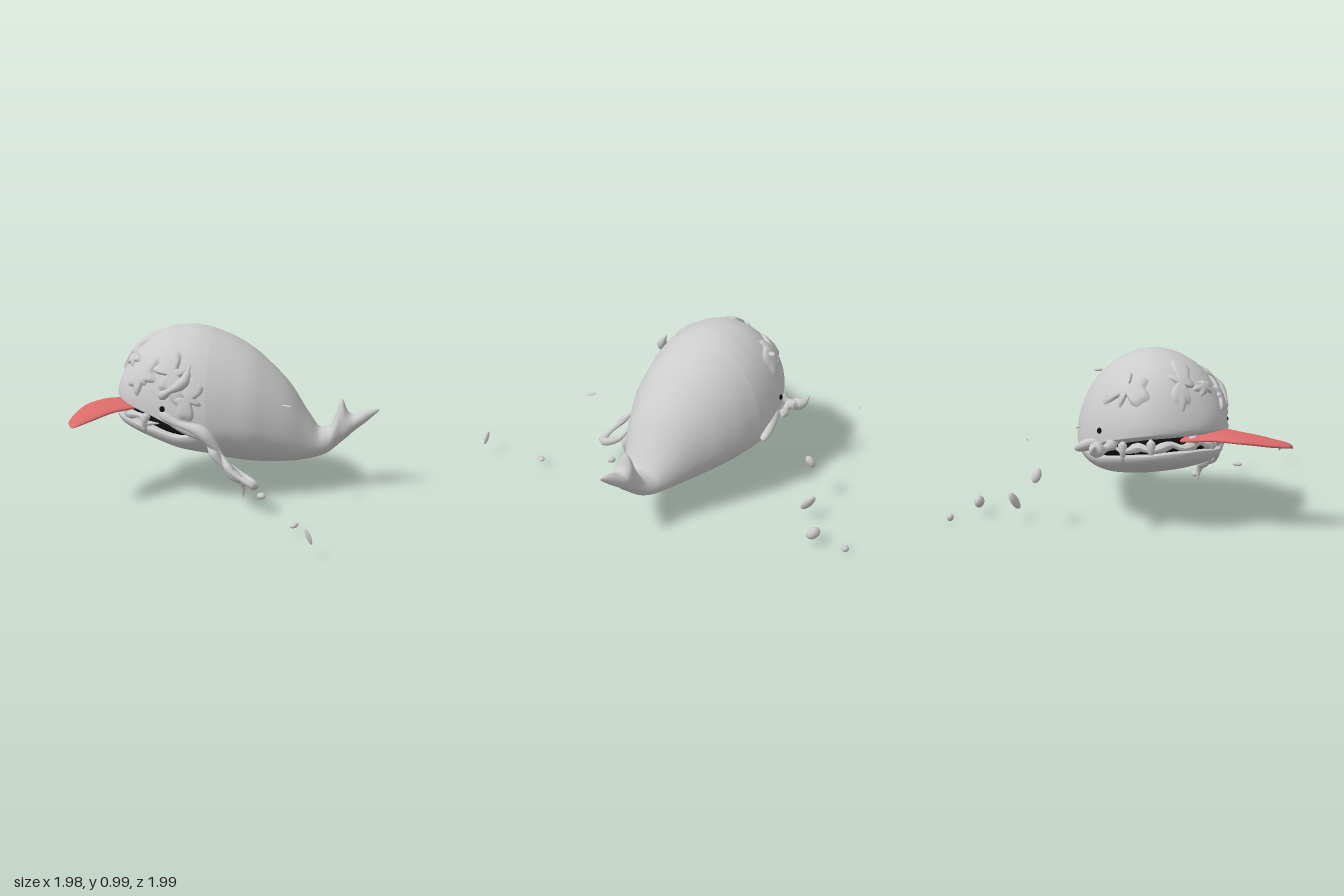
import * as THREE from 'three';

const grey = new THREE.MeshStandardMaterial({ color: 0xcccccc, side: THREE.DoubleSide });
const black = new THREE.MeshStandardMaterial({ color: 0x0c0c0c });
const red = new THREE.MeshStandardMaterial({ color: 0xdd6b6b, side: THREE.DoubleSide });
const V = (p) => new THREE.Vector3(...p);

// Cross-sections: [z, half width, top, widest height, bottom, x centre]
const BODY = [
  [0.755, 0.001, 0.511, 0.505, 0.5, -0.02], [0.68, 0.03, 0.5, 0.465, 0.43, -0.015],
  [0.6, 0.055, 0.468, 0.42, 0.365, -0.01], [0.565, 0.06, 0.49, 0.41, 0.33, -0.01],
  [0.53, 0.06, 0.565, 0.39, 0.3, -0.01], [0.49, 0.075, 0.46, 0.345, 0.265, -0.01],
  [0.45, 0.095, 0.39, 0.3, 0.235, -0.01], [0.4, 0.12, 0.385, 0.29, 0.215, -0.01],
  [0.33, 0.16, 0.475, 0.31, 0.2, -0.015], [0.22, 0.23, 0.65, 0.37, 0.187, -0.02],
  [0.1, 0.295, 0.775, 0.42, 0.185, -0.015], [0, 0.345, 0.86, 0.45, 0.19, -0.01],
  [-0.13, 0.39, 0.935, 0.46, 0.207], [-0.24, 0.42, 0.978, 0.455, 0.236], [-0.25, 0.422, 0.981, 0.455, 0.239],
  [-0.35, 0.428, 0.999, 0.455, 0.41], [-0.46, 0.412, 0.992, 0.49, 0.46],
  [-0.57, 0.372, 0.96, 0.53, 0.505], [-0.67, 0.32, 0.89, 0.56, 0.535],
  [-0.74, 0.26, 0.805, 0.58, 0.555], [-0.79, 0.18, 0.71, 0.595, 0.57],
  [-0.815, 0.08, 0.64, 0.605, 0.585], [-0.82, 0.001, 0.611, 0.61, 0.609],
];
const JAW = [
  [-0.2, 0.001, 0.4, 0.4, 0.4], [-0.21, 0.4, 0.46, 0.45, 0.234], [-0.25, 0.42, 0.46, 0.452, 0.24],
  [-0.32, 0.415, 0.43, 0.422, 0.256], [-0.42, 0.39, 0.415, 0.403, 0.279], [-0.55, 0.335, 0.438, 0.425, 0.318],
  [-0.68, 0.27, 0.462, 0.45, 0.365], [-0.78, 0.18, 0.485, 0.472, 0.41],
  [-0.82, 0.09, 0.493, 0.483, 0.445], [-0.835, 0.001, 0.487, 0.486, 0.485],
];
const MOUTH = [
  [-0.2, 0.001, 0.41, 0.41, 0.41], [-0.3, 0.38, 0.45, 0.42, 0.36], [-0.45, 0.36, 0.5, 0.44, 0.38],
  [-0.6, 0.28, 0.54, 0.48, 0.42], [-0.7, 0.2, 0.565, 0.51, 0.45], [-0.75, 0.001, 0.52, 0.52, 0.52],
];
// The tongue runs along its own z axis, later turned sideways
const TONGUE = [
  [0.99, 0.012, 0.507, 0.5, 0.495, -0.58], [0.97, 0.04, 0.522, 0.51, 0.5, -0.585],
  [0.87, 0.078, 0.547, 0.527, 0.51, -0.6], [0.73, 0.115, 0.57, 0.548, 0.528, -0.605],
  [0.58, 0.145, 0.579, 0.557, 0.536, -0.57], [0.42, 0.12, 0.56, 0.54, 0.52, -0.55],
  [0.25, 0.08, 0.53, 0.51, 0.49, -0.5], [0.24, 0.001, 0.51, 0.51, 0.51, -0.5],
];

// Smoothly interpolated section at position t along the rings
function section(rings, t) {
  const n = rings.length - 1, i = Math.min(Math.floor(t), n - 1), f = t - i;
  const at = (k, c) => rings[Math.max(0, Math.min(n, k))][c] ?? 0;
  return [0, 1, 2, 3, 4, 5].map((c) => {
    const [a, b, d, e] = [at(i - 1, c), at(i, c), at(i + 1, c), at(i + 2, c)];
    // Limited slopes keep neighbouring rings from overshooting
    const slope = (p, q) => (p * q <= 0 ? 0 : (2 * p * q) / (p + q));
    const m0 = slope(b - a, d - b), m1 = slope(d - b, e - d), f2 = f * f, f3 = f2 * f;
    return b * (2 * f3 - 3 * f2 + 1) + m0 * (f3 - 2 * f2 + f) + d * (3 * f2 - 2 * f3) + m1 * (f3 - f2);
  });
}
function surfacePoint(rings, t, phi) {
  const [z, w, top, mid, low, xc] = section(rings, t);
  const s = Math.sin(phi), c = Math.cos(phi);
  const under = s < 0 ? 0.85 : 1;
  return [xc + w * Math.sign(c) * Math.abs(c) ** under, mid + (s > 0 ? top - mid : mid - low) * s, z];
}
function build(pos, idx) {
  const g = new THREE.BufferGeometry();
  g.setAttribute('position', new THREE.Float32BufferAttribute(pos, 3));
  g.setIndex(idx);
  g.computeVertexNormals();
  return g;
}
function loft(rings, sides = 48, steps = 4) {
  const pos = [], idx = [], n = (rings.length - 1) * steps;
  for (let i = 0; i <= n; i++)
    for (let j = 0; j < sides; j++) {
      pos.push(...surfacePoint(rings, i / steps, (j / sides) * Math.PI * 2));
      if (i === n) continue;
      const a = i * sides + j, b = i * sides + (j + 1) % sides;
      idx.push(a, a + sides, b, b, a + sides, b + sides);
    }
  return build(pos, idx);
}
// Ragged slime patch that hugs the body
function splat(t0, phi0, rt, rp, seed) {
  const N = 64, R = 6, pos = [], idx = [];
  for (let r = 0; r <= R; r++)
    for (let k = 0; k < N; k++) {
      const th = (k / N) * Math.PI * 2, q = r / R;
      const lobe = 0.62 + 0.24 * Math.sin(2 * th + seed) + 0.1 * Math.sin(5 * th + seed * 2.3) + 0.12 * Math.sin(7 * th - seed);
      const t = t0 + rt * q * lobe * Math.cos(th), phi = phi0 + rp * q * lobe * Math.sin(th);
      const p = V(surfacePoint(BODY, t, phi));
      const out = p.clone().sub(V([0, 0.5, -0.3])).normalize();
      p.addScaledVector(out, 0.025 * Math.sqrt(1 - q ** 4) - 0.006);
      pos.push(p.x, p.y, p.z);
      if (r === R) continue;
      const a = r * N + k, b = r * N + (k + 1) % N;
      idx.push(a, a + N, b, b, a + N, b + N);
    }
  return build(pos, idx);
}
// Slime strand with gently varying thickness and pointed ends
function strand(points, radius, waves = 2) {
  const curve = new THREE.CatmullRomCurve3(points.map(V)), N = 40, M = 10;
  const g = new THREE.TubeGeometry(curve, N, radius, M), p = g.attributes.position, v = new THREE.Vector3();
  for (let i = 0; i <= N; i++) {
    const f = i / N, c = curve.getPointAt(f);
    const k = Math.min(1, Math.sin(Math.PI * f) * 1.6 + 0.05) * (0.85 + 0.25 * Math.sin(f * waves * Math.PI * 2));
    for (let j = 0; j <= M; j++) {
      const id = i * (M + 1) + j;
      v.fromBufferAttribute(p, id).sub(c).multiplyScalar(k).add(c);
      p.setXYZ(id, v.x, v.y, v.z);
    }
  }
  g.computeVertexNormals();
  return g;
}

export function createModel() {
  const model = new THREE.Group();
  const whale = new THREE.Group();
  whale.name = 'whale';
  whale.rotation.y = Math.PI / 6;
  model.add(whale);
  const add = (parent, name, geo, mat = grey) => {
    const m = new THREE.Mesh(geo, mat);
    m.name = name;
    parent.add(m);
    return m;
  };

  // Body with tail fin, lower jaw and dark mouth
  add(whale, 'body', loft(BODY));
  add(whale, 'lowerJaw', loft(JAW));
  add(whale, 'mouthInside', loft(MOUTH, 32), black);

  // Eyes and flared mouth corners
  for (const s of [1, -1]) {
    add(whale, 'eye', new THREE.SphereGeometry(0.018, 16, 12), black).position.set(s * 0.391, 0.575, -0.5);
    const lip = add(whale, 'mouthCorner', new THREE.SphereGeometry(1, 24, 16));
    lip.scale.set(0.045, 0.034, 0.15);
    lip.position.set(s * 0.405, 0.47, -0.37);
    lip.rotation.set(0.4, s * 0.25, 0);
  }

  // Tongue hanging out to the side
  add(model, 'tongue', loft(TONGUE, 24), red).rotation.y = -Math.PI / 2;

  // Slime patches on the head: [position along body, angle, length, spread, seed]
  const patches = [
    [17.2, 0.76, 1.7, 0.5, 1], [18.5, 1.62, 1.9, 0.42, 2.6], [15.9, 2.55, 1.7, 0.42, 4],
    [15, 2.8, 1.2, 0.3, 5.5], [17.6, 2.6, 1.2, 0.42, 0.4], [18.4, 2.1, 0.8, 0.3, 3],
  ];
  for (const p of patches) add(whale, 'slimePatch', splat(...p));

  // Wavy slime band lying in the mouth, with threads up to the lip
  const band = [];
  for (let i = 0; i <= 16; i++) {
    const a = (i / 16) * Math.PI, wave = Math.sin(i * 2.1);
    band.push([0.32 * Math.cos(a), 0.455 + 0.055 * Math.sin(a) + 0.012 * wave, -0.5 - 0.27 * Math.sin(a) + 0.01 * wave]);
  }
  add(whale, 'mouthSlime', strand(band, 0.027, 6));
  for (const i of [2, 5, 9, 11, 14]) {
    const [x, y, z] = band[i];
    add(whale, 'mouthThread', strand([[x, y + 0.07, z + 0.01], [x * 1.03, y, z - 0.01], [x, y - 0.06, z]], 0.024, 1));
  }

  // Dripping strands and the splash beside the mouth
  const drips = [
    [[[-0.57, 0.58, -0.33], [-0.57, 0.5, -0.15], [-0.53, 0.46, 0], [-0.49, 0.36, 0.08], [-0.46, 0.28, 0.14]], 0.036],
    [[[-0.51, 0.4, 0.02], [-0.5, 0.3, 0.1], [-0.45, 0.22, 0.15], [-0.41, 0.17, 0.2], [-0.39, 0.07, 0.2]], 0.028],
    [[[-0.48, 0.34, 0.1], [-0.51, 0.25, 0.2], [-0.47, 0.18, 0.33], [-0.42, 0.2, 0.24], [-0.43, 0.27, 0.14]], 0.024],
    [[[-0.56, 0.62, -0.3], [-0.58, 0.68, -0.2], [-0.54, 0.74, -0.12], [-0.47, 0.84, -0.12]], 0.03],
    [[[-0.02, 0.53, -0.66], [0.06, 0.49, -0.73], [0.1, 0.5, -0.79], [0.09, 0.53, -0.84]], 0.036],
    [[[0.14, 0.46, -0.62], [0.09, 0.5, -0.7], [0.12, 0.48, -0.77]], 0.032],
  ];
  for (const [path, r] of drips) add(model, 'slimeStrand', strand(path, r));

  // Loose drops: [x, y, z, width, height, depth, tilt about z, tilt about x]
  const drops = [
    [0.45, 0.31, -0.66, 0.028, 0.045, 0.025, 0.2, 0.5], [0.6, 0.13, -0.57, 0.02, 0.062, 0.032, -0.4, -0.5],
    [0.83, 0.09, -0.48, 0.028, 0.036, 0.046, 0.1, 0.3], [0.97, 0.03, -0.62, 0.02, 0.022, 0.022, 0.3, 0],
    [-0.88, 0.13, 0.97, 0.009, 0.045, 0.014, 0.1, -0.4], [-0.61, 0.06, 0.7, 0.032, 0.013, 0.02, 0.1, 0],
    [-0.37, 0.09, 0.31, 0.022, 0.018, 0.026, 0.3, 0],
    [0.21, 0.6, -0.66, 0.016, 0.006, 0.012, -0.3, 0], [0.43, 0.6, -0.99, 0.004, 0.006, 0.004, 0, 0],
    [-0.32, 0.64, 0.45, 0.014, 0.004, 0.035, 0, 0], [0.11, 0.91, -0.55, 0.025, 0.008, 0.02, 0, 0],
  ];
  for (const [x, y, z, w, h, d, tiltZ, tiltX] of drops) {
    const m = add(model, 'slimeDrop', new THREE.SphereGeometry(1, 14, 10));
    m.position.set(x, y, z);
    m.scale.set(w, h, d);
    m.rotation.set(tiltX, 0, tiltZ);
  }
  return model;
}
